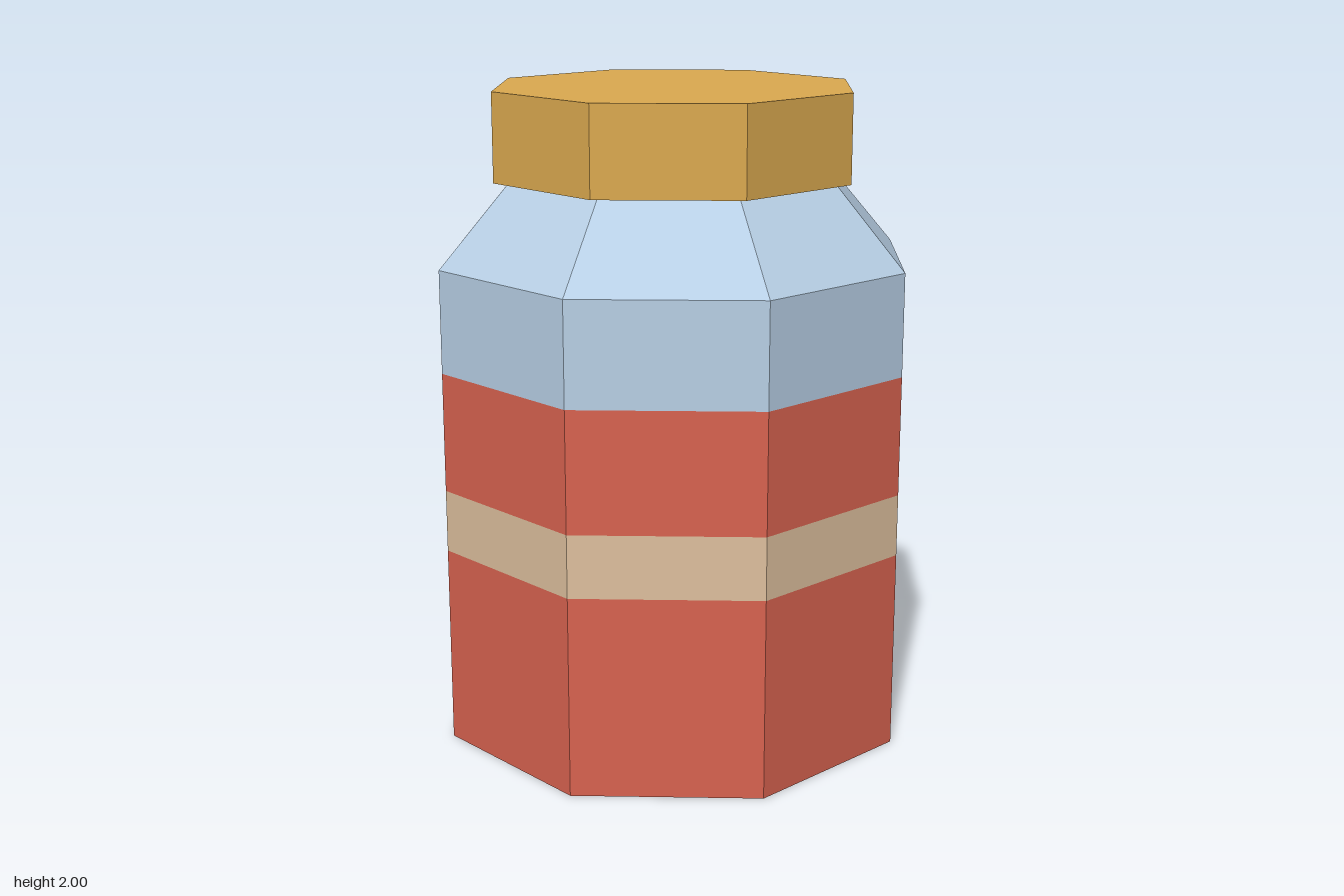
import * as THREE from 'three';

const SIDES = 8;
const BODY_R = 0.74;
const NECK_R = 0.52;
const LID_R = 0.568;

function flatMaterial(name, color) {
  const material = new THREE.MeshStandardMaterial({ color, flatShading: true, side: THREE.DoubleSide });
  material.name = name;
  return material;
}

// Open octagonal band from height y0 to y1
function band(name, material, y0, y1, r0, r1 = r0) {
  const geometry = new THREE.CylinderGeometry(r1, r0, y1 - y0, SIDES, 1, true);
  const mesh = new THREE.Mesh(geometry, material);
  mesh.position.y = (y0 + y1) / 2;
  mesh.name = name;
  return mesh;
}

export function createModel() {
  const red = flatMaterial('red', 0xd96350);
  const cream = flatMaterial('cream', 0xdec09e);
  const glass = flatMaterial('pale blue', 0xb8d0e6);
  const gold = flatMaterial('gold', 0xdcaa50);

  const model = new THREE.Group();
  model.name = 'jar';

  // Hollow body, open underneath, in stacked colour bands
  const body = new THREE.Group();
  body.name = 'body';
  body.add(
    band('lowerWall', red, 0, 0.615, BODY_R),
    band('stripe', cream, 0.615, 0.806, BODY_R),
    band('middleWall', red, 0.806, 1.172, BODY_R),
    band('upperWall', glass, 1.172, 1.485, BODY_R),
    band('shoulder', glass, 1.485, 1.733, BODY_R, NECK_R),
  );

  // Lid: a rim closed on top and open below
  const lid = new THREE.Group();
  lid.name = 'lid';
  const lidTop = new THREE.Mesh(new THREE.CircleGeometry(LID_R, SIDES), gold);
  lidTop.name = 'lidTop';
  lidTop.rotation.x = -Math.PI / 2;
  lidTop.position.y = 2;
  lid.add(band('lidRim', gold, 1.733, 2, LID_R), lidTop);

  model.add(body, lid);
  return model;
}
